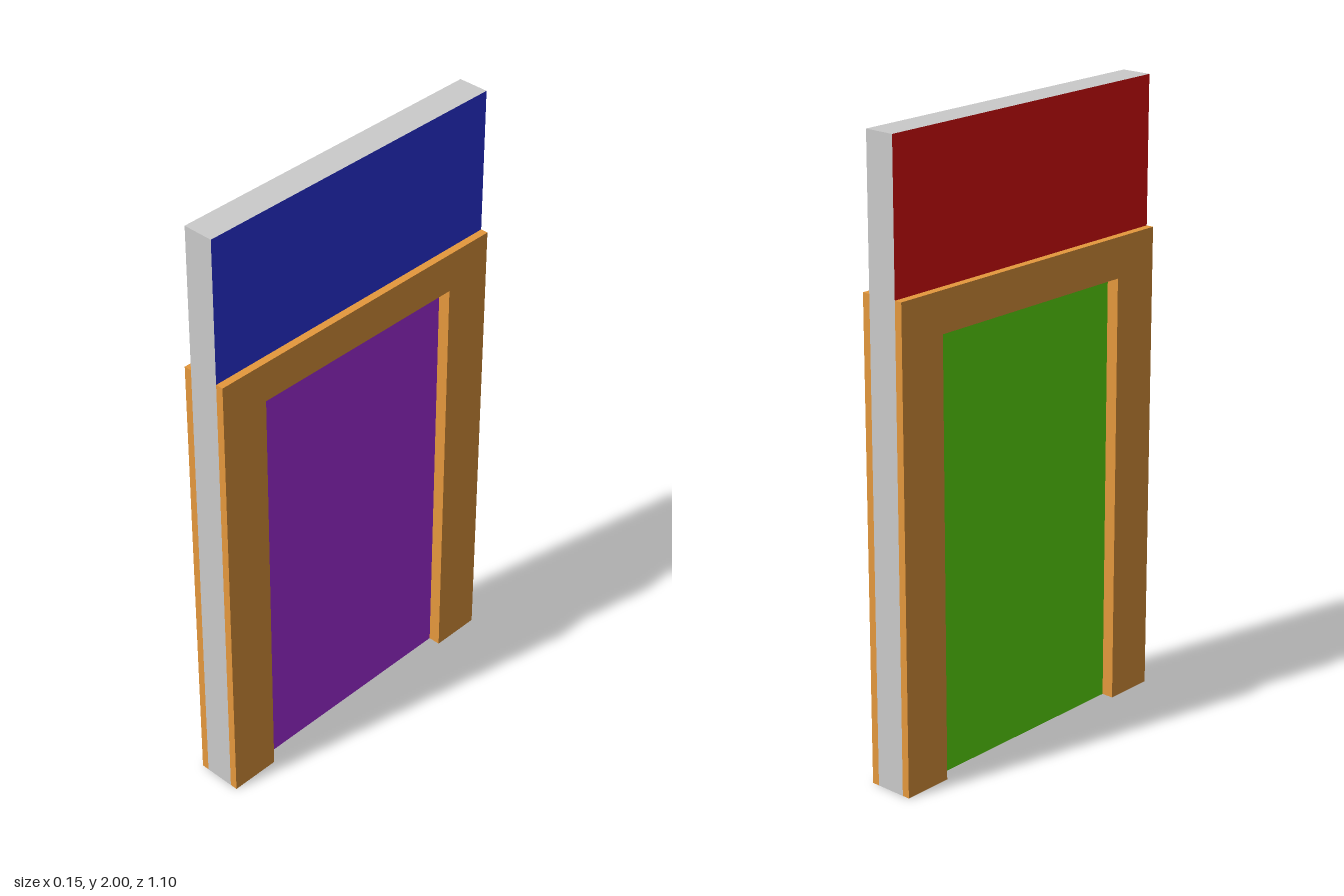
import * as THREE from 'three';

const GREY = 0xcccccc, ORANGE = 0xe6993d, BLUE = 0x2c37e6, RED = 0xe61010;
const PURPLE = 0xac30e6, GREEN = 0x62e610, MAGENTA = 0xe641b9;

const WALL = 0.05, TRIM = 0.075, DOOR = 0.035; // half thicknesses along x
const HALF = 0.55, OPEN = 0.385;               // half widths along z
const OPEN_TOP = 1.4, TRIM_TOP = 1.53, TOP = 2;

const FACES = ['px', 'nx', 'py', 'ny', 'pz', 'nz']; // face order of BoxGeometry
const materials = {};
const material = (color) => (materials[color] ??= new THREE.MeshStandardMaterial({ color }));

// A box between the given bounds; only the faces given a colour are made.
function block(name, [x0, x1], [y0, y1], [z0, z1], colors) {
  const group = new THREE.Group();
  group.name = name;
  for (const color of new Set(Object.values(colors))) {
    const geometry = new THREE.BoxGeometry(x1 - x0, y1 - y0, z1 - z0);
    geometry.translate((x0 + x1) / 2, (y0 + y1) / 2, (z0 + z1) / 2);
    const all = Array.from(geometry.index.array);
    const kept = FACES.flatMap((f, i) => (colors[f] === color ? all.slice(i * 6, i * 6 + 6) : []));
    geometry.setIndex(kept);
    geometry.clearGroups();
    const mesh = new THREE.Mesh(geometry, material(color));
    mesh.name = name + 'Faces';
    group.add(mesh);
  }
  return group;
}

export function createModel() {
  const model = new THREE.Group();
  model.name = 'doorway';

  // Upper wall, painted differently on each side
  model.add(block('upperWall', [-WALL, WALL], [TRIM_TOP, TOP], [-HALF, HALF],
    { px: BLUE, nx: RED, py: GREY, pz: GREY, nz: GREY }));

  // Wall above the opening
  model.add(block('lintel', [-WALL, WALL], [OPEN_TOP, TRIM_TOP], [-OPEN, OPEN], { ny: ORANGE }));

  // Wall posts beside the opening
  for (const s of [1, -1]) {
    const z = s > 0 ? [OPEN, HALF] : [-HALF, -OPEN];
    const outer = s > 0 ? 'pz' : 'nz', inner = s > 0 ? 'nz' : 'pz';
    model.add(block('post', [-WALL, WALL], [0, TRIM_TOP], z,
      { ny: GREY, [outer]: GREY, [inner]: ORANGE }));

    // Trim uprights on both sides of the wall
    for (const t of [1, -1]) {
      const x = t > 0 ? [WALL, TRIM] : [-TRIM, -WALL];
      model.add(block('trimUpright', x, [0, TRIM_TOP], z,
        { [t > 0 ? 'px' : 'nx']: ORANGE, py: ORANGE, ny: GREY, pz: ORANGE, nz: ORANGE }));
    }
  }

  // Trim heads joining the uprights
  for (const t of [1, -1]) {
    const x = t > 0 ? [WALL, TRIM] : [-TRIM, -WALL];
    model.add(block('trimHead', x, [OPEN_TOP, TRIM_TOP], [-OPEN, OPEN],
      { [t > 0 ? 'px' : 'nx']: ORANGE, py: ORANGE, ny: ORANGE }));
  }

  // Recessed door panel
  model.add(block('door', [-DOOR, DOOR], [0, OPEN_TOP], [-OPEN, OPEN],
    { px: PURPLE, nx: GREEN, ny: MAGENTA }));

  return model;
}
